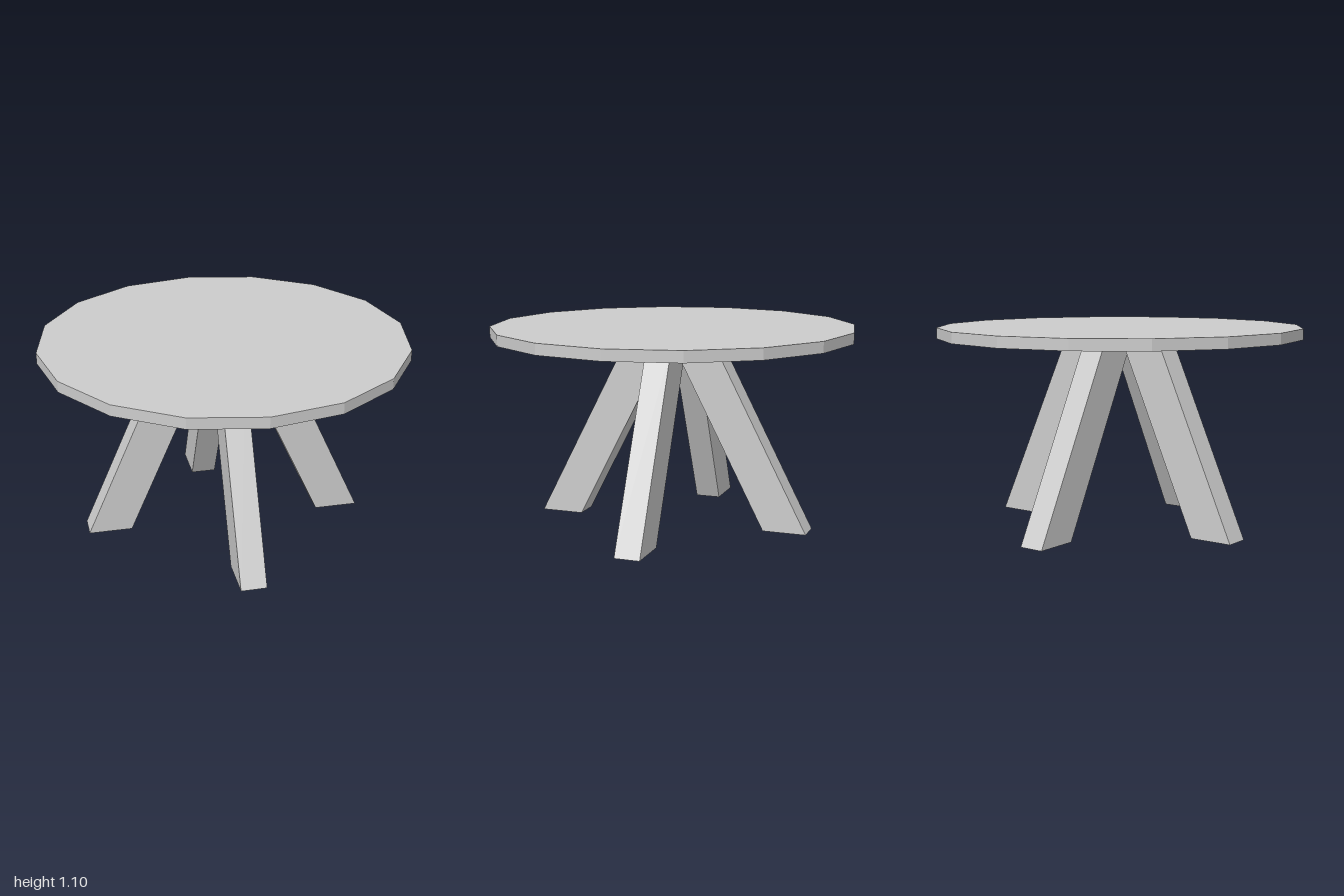
import * as THREE from 'three';

const TOP_Y = 1.04, TOP_THICK = 0.06, LEG_WIDTH = 0.14;

// Slanted leg: a parallelogram profile from the floor up to the tabletop
function legGeometry(side, footInner, topInner, depthStart) {
  const w = 0.24;
  const shape = new THREE.Shape([
    [footInner, 0], [footInner + w, 0], [topInner + w, TOP_Y], [topInner, TOP_Y],
  ].map(([u, y]) => new THREE.Vector2(side * u, y)));
  return new THREE.ExtrudeGeometry(shape, { depth: LEG_WIDTH, bevelEnabled: false })
    .translate(0, 0, depthStart);
}

export function createModel() {
  const grey = new THREE.MeshStandardMaterial({ color: 0xcccccc });
  grey.name = 'lightGrey';
  grey.flatShading = true;

  const table = new THREE.Group();
  table.name = 'roundTable';
  const add = (name, geometry) => {
    const mesh = new THREE.Mesh(geometry, grey);
    mesh.name = name;
    table.add(mesh);
  };

  // Sixteen-sided tabletop
  add('tabletop', new THREE.CylinderGeometry(1, 1, TOP_THICK, 16)
    .translate(0, TOP_Y + TOP_THICK / 2, 0));

  // Legs leaning along x
  add('leftLeg', legGeometry(1, 0.54, 0.06, -0.10));
  add('rightLeg', legGeometry(-1, 0.54, 0.08, -0.10));

  // Legs leaning along z
  add('frontLeg', legGeometry(1, 0.54, 0, -0.06).rotateY(-Math.PI / 2));
  add('backLeg', legGeometry(-1, 0.54, 0, -0.06).rotateY(-Math.PI / 2));

  return table;
}
